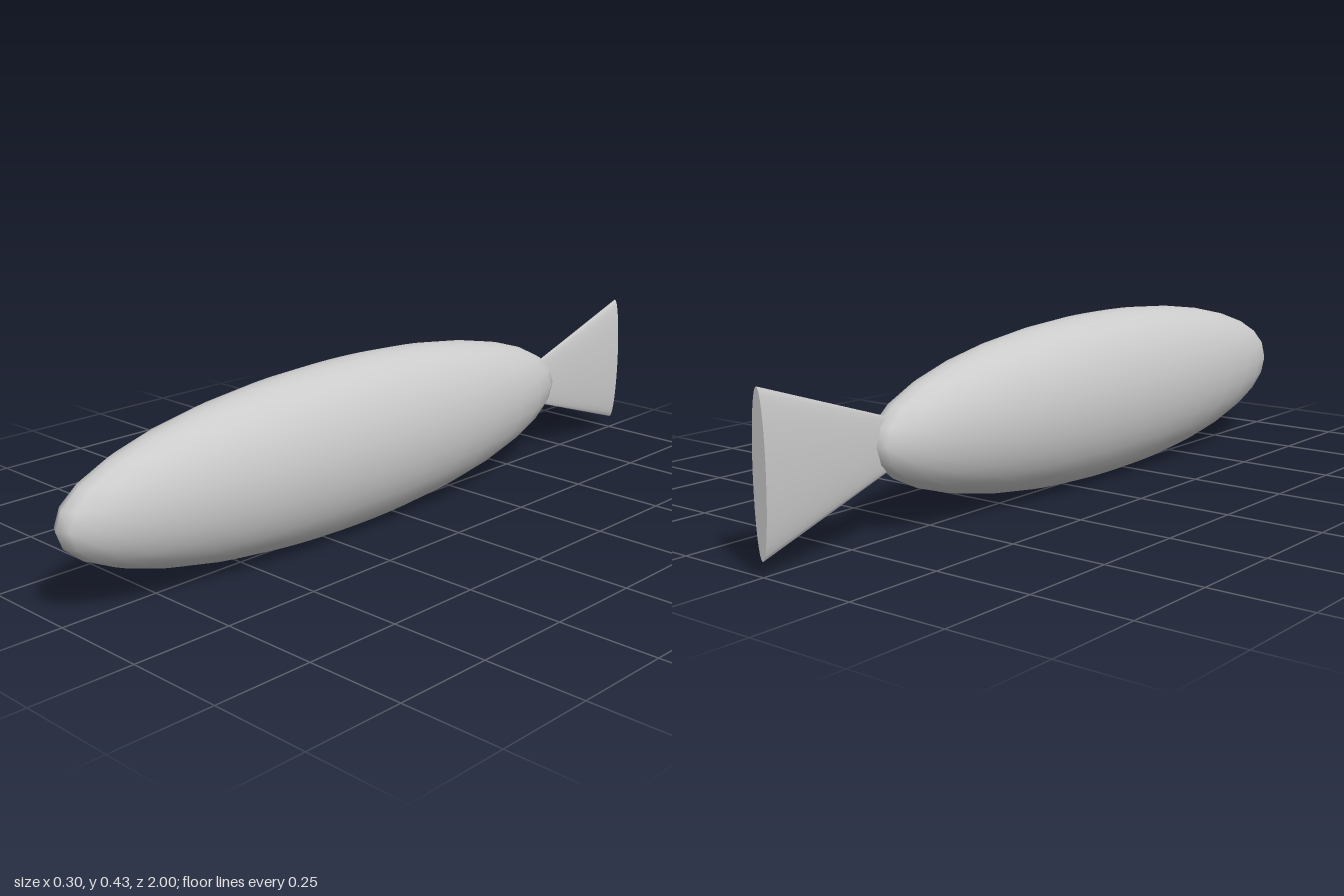
import * as THREE from 'three';

const material = new THREE.MeshStandardMaterial({ color: 0xcccccc });

function addPart(group, name, geometry, x, y, z) {
  const mesh = new THREE.Mesh(geometry, material);
  mesh.name = name;
  mesh.position.set(x, y, z);
  group.add(mesh);
}

export function createModel() {
  const group = new THREE.Group();
  group.name = 'fish';
  const midY = 0.217;

  // Long, slightly flattened ellipsoid body
  const body = new THREE.SphereGeometry(1, 32, 16);
  body.scale(0.149, 0.216, 0.84);
  addPart(group, 'body', body, 0, midY, 0.16);

  // Thin tail fin: a flattened cone whose tip is buried in the body
  const tailLength = 0.56;
  const tail = new THREE.ConeGeometry(0.183, tailLength, 32);
  tail.rotateX(Math.PI / 2);
  tail.scale(0.11, 1, 1);
  addPart(group, 'tailFin', tail, 0, midY, -1 + tailLength / 2);

  return group;
}
